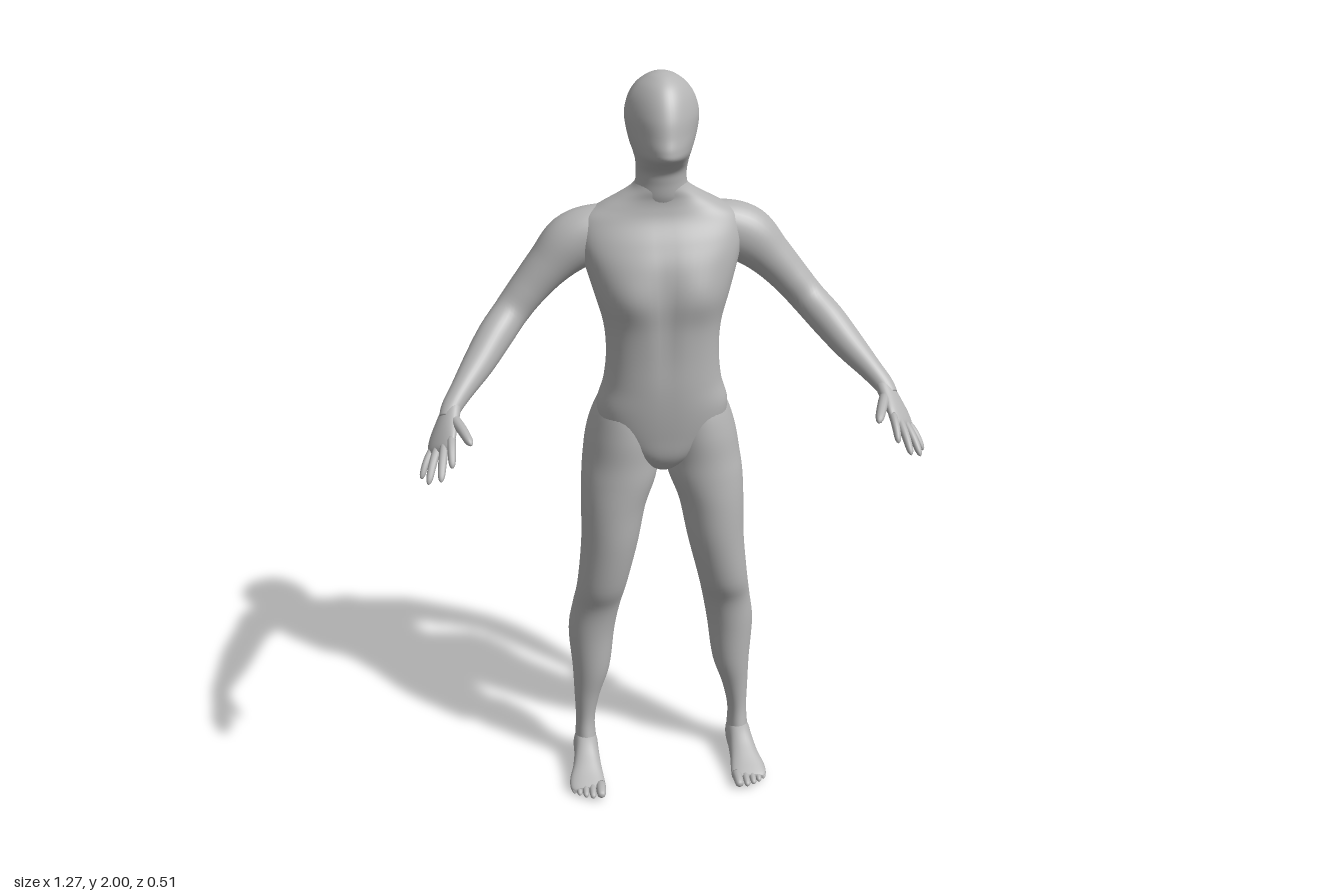
import * as THREE from 'three';

const V3 = (x, y, z) => new THREE.Vector3(x, y, z);
const X = V3(1, 0, 0), Y = V3(0, 1, 0), Z = V3(0, 0, 1);

// Catmull-Rom blend of whole sections (every number of a row is interpolated)
function sectionAt(rows, t) {
  const i = Math.min(Math.floor(t), rows.length - 2), f = t - i;
  const row = k => rows[Math.max(0, Math.min(rows.length - 1, k))];
  const [a, b, c, d] = [row(i - 1), row(i), row(i + 1), row(i + 2)];
  return b.map((_, k) => 0.5 * (2 * b[k] + (c[k] - a[k]) * f
    + (2 * a[k] - 5 * b[k] + 4 * c[k] - d[k]) * f * f
    + (3 * b[k] - a[k] - 3 * c[k] + d[k]) * f * f * f));
}

// Skin a tube over rows of [x, y, z, radiusU, radiusV].
// V follows ref; the cut plane faces axis, or the path itself if axis is null.
function loft(rows, { ref, axis = null, sides = 32, steps = 5, power = 2, shape = null, mirror = false }) {
  const pos = [], idx = [], n = (rows.length - 1) * steps;
  const center = t => V3(...sectionAt(rows, t).slice(0, 3));
  const ring = (t, k) => {
    const [x, y, z, ru, rv] = sectionAt(rows, t);
    const T = axis ? axis.clone()
      : center(Math.min(t + 0.05, rows.length - 1)).sub(center(Math.max(t - 0.05, 0))).normalize();
    const V = ref.clone().addScaledVector(T, -ref.dot(T)).normalize();
    const U = V.clone().cross(T);
    for (let j = 0; j < sides; j++) {
      const a = j / sides * Math.PI * 2, c = Math.cos(a), s = Math.sin(a);
      const u = Math.sign(c) * Math.abs(c) ** (2 / power) * Math.max(ru, 0.001) * k;
      const v = Math.sign(s) * Math.abs(s) ** (2 / power) * Math.max(rv, 0.001) * k;
      const p = V3(x, y, z).addScaledVector(U, u).addScaledVector(V, v);
      if (shape) shape(p);
      pos.push(mirror ? -p.x : p.x, p.y, p.z);
    }
  };
  ring(0, 0.01);
  for (let i = 0; i <= n; i++) ring(i / steps, 1);
  ring(rows.length - 1, 0.01);
  for (let i = 0; i < n + 2; i++) for (let j = 0; j < sides; j++) {
    const a = i * sides + j, b = i * sides + (j + 1) % sides, c = a + sides, d = b + sides;
    if (mirror) idx.push(a, d, b, a, c, d);
    else idx.push(a, b, d, a, d, c);
  }
  const g = new THREE.BufferGeometry();
  g.setAttribute('position', new THREE.Float32BufferAttribute(pos, 3));
  g.setIndex(idx);
  g.computeVertexNormals();
  return g;
}

// Horizontal slice: height, centre x, half width, front z, back z
const slice = ([y, cx, hw, zf, zb]) => [cx, y, (zf + zb) / 2, hw, (zf - zb) / 2];
const bump = (d, w) => Math.exp(-((d / w) ** 2));

export function createModel() {
  const root = new THREE.Group();
  root.name = 'figure';
  const skin = new THREE.MeshStandardMaterial({ color: 0xb4b4b4 });
  skin.name = 'plain grey';
  const add = (parent, name, geometry) => {
    const m = new THREE.Mesh(geometry, skin);
    m.name = name;
    parent.add(m);
  };

  // Torso: pelvis to neck base, with chest, breastbone and spine modelled in
  add(root, 'torso', loft([
    [0.945, 0, 0.012, -0.06, -0.13], [0.96, 0, 0.045, -0.035, -0.16],
    [1.0, 0, 0.1, -0.01, -0.185], [1.06, 0, 0.155, 0.0, -0.195],
    [1.13, 0, 0.172, 0.008, -0.205], [1.2, 0, 0.154, 0.012, -0.2],
    [1.28, 0, 0.146, 0.012, -0.187], [1.36, 0, 0.152, 0.014, -0.202],
    [1.44, 0, 0.174, 0.016, -0.222], [1.52, 0, 0.197, 0.004, -0.235],
    [1.58, 0, 0.21, -0.022, -0.229], [1.63, 0, 0.2, -0.05, -0.215],
    [1.66, 0, 0.155, -0.06, -0.2], [1.685, 0, 0.11, -0.063, -0.187],
    [1.71, 0, 0.073, -0.06, -0.175], [1.74, 0, 0.055, -0.065, -0.16],
  ].map(slice), {
    ref: Z, axis: Y, sides: 64, steps: 6, power: 2.3,
    shape: p => {
      const x = Math.abs(p.x);
      if (p.z > -0.09) {
        p.z += 0.013 * bump(x - 0.09, 0.06) * bump(p.y - 1.45, 0.06);
        p.z -= 0.008 * bump(x, 0.025) * bump(p.y - 1.4, 0.16);
      } else p.z += 0.022 * bump(x, 0.035) * bump(p.y - 1.38, 0.19);
    },
  }));

  // Neck and smooth head, narrowing to the front of the face
  add(root, 'headAndNeck', loft([
    [1.65, 0, 0.085, -0.075, -0.19], [1.69, 0, 0.073, -0.06, -0.178],
    [1.73, 0, 0.064, -0.055, -0.167], [1.76, 0, 0.064, -0.046, -0.163],
    [1.785, 0, 0.067, -0.012, -0.166], [1.808, 0, 0.074, 0.028, -0.175],
    [1.83, 0, 0.081, 0.032, -0.186], [1.86, 0, 0.088, 0.023, -0.197],
    [1.9, 0, 0.092, 0.012, -0.205], [1.94, 0, 0.082, -0.007, -0.197],
    [1.97, 0, 0.062, -0.03, -0.175], [1.99, 0, 0.036, -0.058, -0.142],
    [1.998, 0, 0.016, -0.08, -0.117], [2.0, 0, 0.004, -0.094, -0.102],
  ].map(slice), {
    ref: Z, axis: Y, sides: 48, steps: 6,
    shape: p => {
      const front = Math.max(0, (p.z + 0.09) / 0.12) * Math.min(1, Math.max(0, (p.y - 1.74) / 0.06));
      p.x *= 1 - 0.3 * front;
    },
  }));

  for (const side of ['left', 'right']) {
    const mirror = side === 'right';

    // Leg: buttock and thigh down to the heel
    const leg = new THREE.Group();
    leg.name = side + 'Leg';
    root.add(leg);
    add(leg, side + 'LegLimb', loft([
      [0.005, 0.222, 0.02, -0.09, -0.16], [0.03, 0.222, 0.03, -0.075, -0.168],
      [0.07, 0.221, 0.03, -0.068, -0.166], [0.14, 0.22, 0.027, -0.083, -0.16],
      [0.22, 0.213, 0.036, -0.08, -0.166], [0.31, 0.2, 0.052, -0.069, -0.183],
      [0.43, 0.196, 0.064, -0.064, -0.2], [0.52, 0.182, 0.066, -0.052, -0.18],
      [0.6, 0.167, 0.068, -0.02, -0.161], [0.73, 0.145, 0.077, -0.001, -0.176],
      [0.84, 0.133, 0.087, 0.002, -0.188], [0.92, 0.117, 0.1, 0.0, -0.205],
      [0.98, 0.108, 0.102, -0.003, -0.239], [1.05, 0.1, 0.098, -0.004, -0.256],
      [1.12, 0.094, 0.08, -0.015, -0.234], [1.18, 0.09, 0.05, -0.04, -0.195],
    ].map(slice), { ref: Z, axis: Y, sides: 40, mirror }));

    // Foot: rows of z, centre x, half width, top y, bottom y
    add(leg, side + 'Foot', loft([
      [-0.176, 0.222, 0.01, 0.045, 0.018], [-0.168, 0.222, 0.024, 0.065, 0.004],
      [-0.12, 0.222, 0.034, 0.1, 0], [-0.07, 0.223, 0.035, 0.095, 0],
      [-0.02, 0.226, 0.04, 0.068, 0.002], [0.02, 0.23, 0.048, 0.046, 0],
      [0.05, 0.229, 0.049, 0.031, 0], [0.064, 0.226, 0.042, 0.024, 0.004],
    ].map(([z, cx, hw, t, b]) => [cx, (t + b) / 2, z, hw, (t - b) / 2]),
    { ref: Y, axis: Z, power: 2.3, mirror }));

    // A toe or finger: gently bent tube with a rounded tip
    const digit = (parent, name, base, tip, r, lift) => {
      const rows = [[0, 1], [0.3, 1], [0.6, 0.95], [0.85, 0.82], [0.96, 0.5], [1, 0.1]].map(([t, k]) => {
        const p = V3(...base).lerp(V3(...tip), t);
        p.y += lift * Math.sin(Math.PI * t);
        return [p.x, p.y, p.z, r * k, r * k];
      });
      add(parent, name, loft(rows, { ref: X, sides: 12, steps: 3, mirror }));
    };
    [[0.196, 0.099, 0.014], [0.219, 0.096, 0.01], [0.238, 0.088, 0.0095], [0.255, 0.077, 0.009], [0.269, 0.064, 0.0085]]
      .forEach(([x, z, r], i) =>
        digit(leg, side + 'Toe' + (i + 1), [x - 0.002, 0.017, z - 0.055], [x, r, z], r, 0.004));

    // Arm: shoulder, elbow, forearm, wrist
    const arm = new THREE.Group();
    arm.name = side + 'Arm';
    root.add(arm);
    add(arm, side + 'ArmLimb', loft([
      [0.09, 1.605, -0.14, 0.05, 0.05], [0.16, 1.588, -0.142, 0.063, 0.07],
      [0.225, 1.56, -0.142, 0.066, 0.074], [0.285, 1.505, -0.138, 0.058, 0.058],
      [0.34, 1.445, -0.13, 0.05, 0.049], [0.385, 1.392, -0.115, 0.045, 0.046],
      [0.43, 1.345, -0.072, 0.045, 0.046], [0.475, 1.295, -0.018, 0.04, 0.04],
      [0.52, 1.25, 0.04, 0.03, 0.03], [0.548, 1.22, 0.075, 0.026, 0.024],
      [0.56, 1.2, 0.1, 0.022, 0.018],
    ], { ref: Y, mirror }));

    // Hand: flat palm, four fingers and a thumb
    const across = V3(-0.735, 0.588, 0.343);
    add(arm, side + 'Palm', loft([
      [0.54, 1.23, 0.062, 0.018, 0.02], [0.55, 1.213, 0.082, 0.02, 0.028],
      [0.562, 1.19, 0.106, 0.02, 0.037], [0.574, 1.166, 0.134, 0.017, 0.045],
      [0.581, 1.147, 0.157, 0.013, 0.044], [0.584, 1.14, 0.166, 0.007, 0.036],
    ], { ref: across, mirror }));
    [['LittleFinger', -0.035, [0.632, 1.08, 0.186], 0.009],
      ['RingFinger', -0.012, [0.615, 1.083, 0.225], 0.0105],
      ['MiddleFinger', 0.012, [0.584, 1.1, 0.25], 0.011],
      ['IndexFinger', 0.034, [0.555, 1.125, 0.229], 0.0105],
    ].forEach(([name, k, tip, r]) => {
      const base = V3(0.578, 1.153, 0.15).addScaledVector(across, k);
      digit(arm, side + name, base.toArray(), tip, r, 0.008);
    });
    digit(arm, side + 'Thumb', [0.55, 1.203, 0.095], [0.506, 1.175, 0.21], 0.0135, 0.006);
  }
  return root;
}
